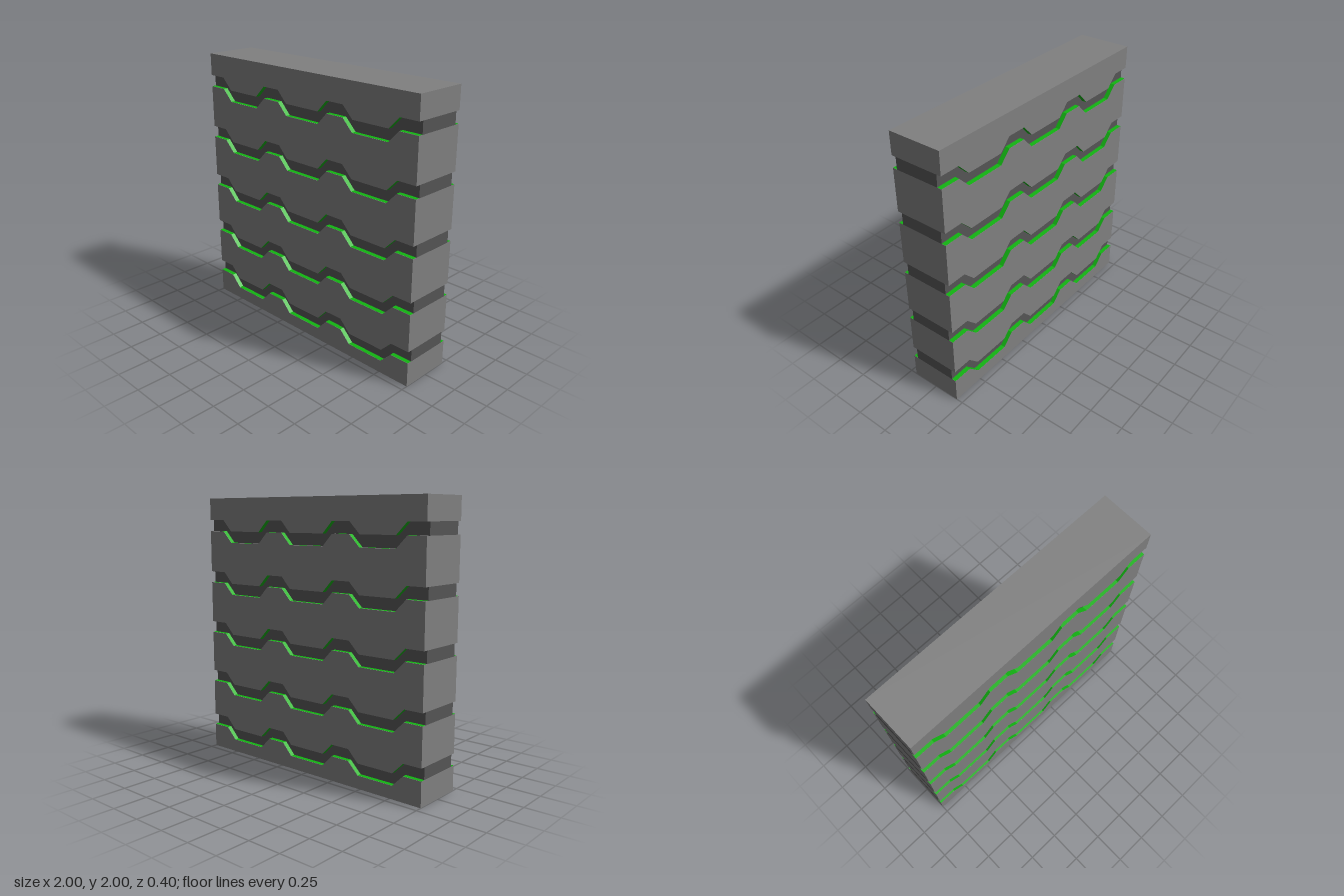
import * as THREE from 'three';

const HALF_DEPTH = 0.2, CORE = 0.166, GROOVE = 0.087, DROP = 0.086;
// Lower lip of each groove, measured at the wall's ends
const LIPS = [0.181, 0.547, 0.947, 1.347, 1.748];

// Stepped wave shared by all grooves: x and height offset
const WAVE = [[-1, 0], [-0.856, 0], [-0.77, 1], [-0.48, 1], [-0.394, 0], [-0.243, 0], [-0.16, 1],
  [0.15, 1], [0.232, 0], [0.38, 0], [0.466, 1], [0.765, 1], [0.85, 0], [1, 0]]
  .map(([x, low]) => [x, -low * DROP]);

const wave = (y) => WAVE.map(([x, dy]) => new THREE.Vector2(x, y + dy));
const flat = (y) => [new THREE.Vector2(-1, y), new THREE.Vector2(1, y)];

// Solid between a lower and an upper edge line, centred on z
function band(lower, upper, halfDepth) {
  const shape = new THREE.Shape([...lower, ...upper.slice().reverse()]);
  const geo = new THREE.ExtrudeGeometry(shape, { depth: 2 * halfDepth, bevelEnabled: false });
  return geo.translate(0, 0, -halfDepth);
}

// Thin strip following the wave, facing up or down
function ribbon(y, z, facing) {
  const geo = new THREE.PlaneGeometry(2, HALF_DEPTH - CORE, WAVE.length - 1, 1);
  geo.rotateX(-facing * Math.PI / 2);
  const pos = geo.attributes.position;
  for (let i = 0; i < pos.count; i++) {
    const [x, dy] = WAVE[i % WAVE.length];
    pos.setXYZ(i, x, y + dy + facing * 0.0015, pos.getZ(i) + z);
  }
  const out = geo.toNonIndexed();
  out.computeVertexNormals();
  return out;
}

export function createModel() {
  const group = new THREE.Group();
  const slabMat = new THREE.MeshStandardMaterial({ color: 0x808080 });
  const coreMat = new THREE.MeshStandardMaterial({ color: 0x555555 });
  const greenMat = new THREE.MeshStandardMaterial({ color: 0x12b412 });
  const add = (name, geo, mat) => {
    const mesh = new THREE.Mesh(geo, mat);
    mesh.name = name;
    group.add(mesh);
  };

  // Full-depth wall slabs between the grooves
  for (let i = 0; i <= LIPS.length; i++) {
    const lower = i === 0 ? flat(0) : wave(LIPS[i - 1] + GROOVE);
    const upper = i === LIPS.length ? flat(2) : wave(LIPS[i]);
    add('wallSlab' + (i + 1), band(lower, upper, HALF_DEPTH), slabMat);
  }

  // Recessed dark core and green groove linings on front and back
  LIPS.forEach((y, i) => {
    add('grooveCore' + (i + 1), band(wave(y), wave(y + GROOVE), CORE), coreMat);
    for (const side of [1, -1]) {
      const z = side * (HALF_DEPTH + CORE) / 2;
      const face = side > 0 ? 'front' : 'back';
      add(face + 'GrooveFloor' + (i + 1), ribbon(y, z, 1), greenMat);
      add(face + 'GrooveCeiling' + (i + 1), ribbon(y + GROOVE, z, -1), greenMat);
    }
  });
  return group;
}
